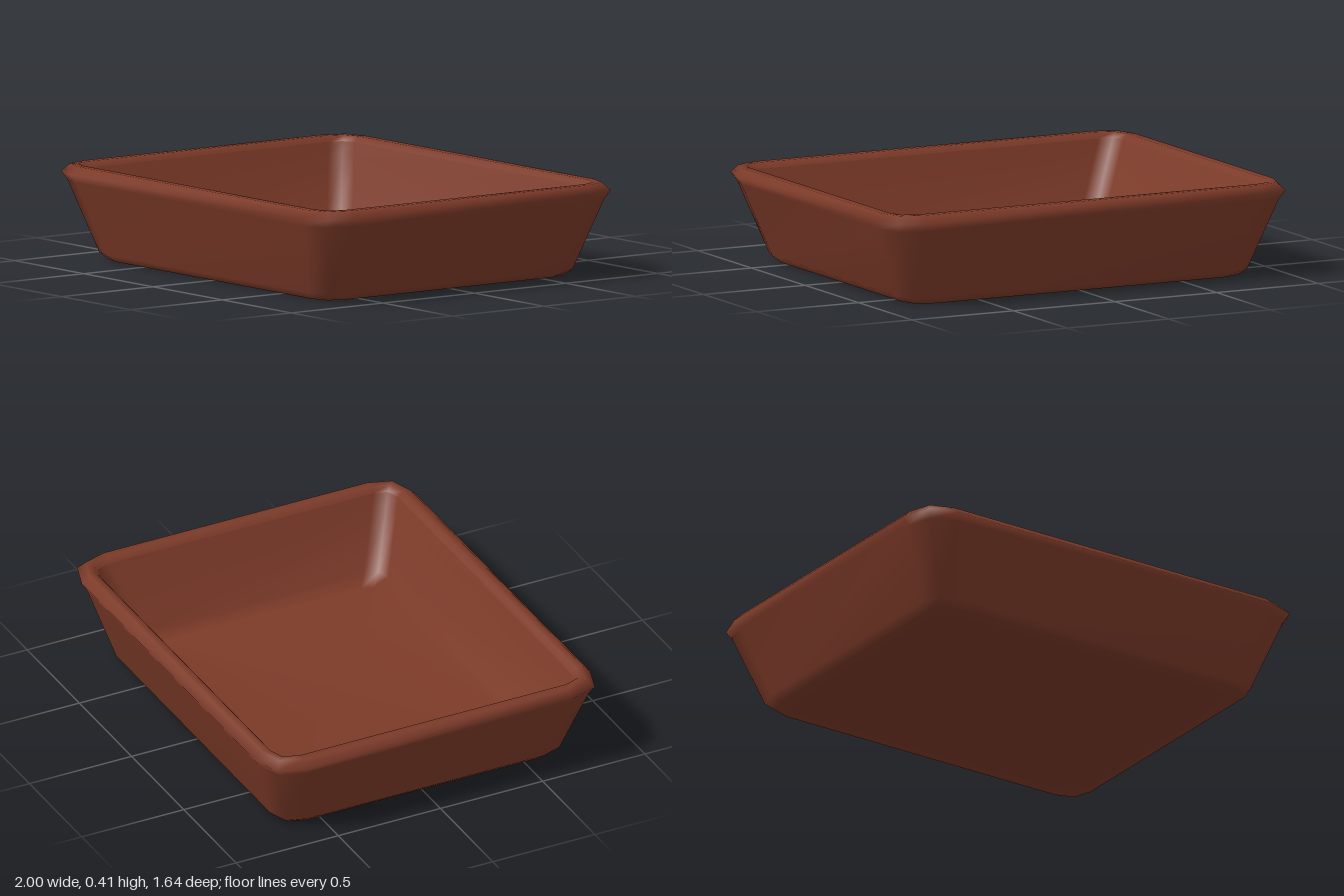
import * as THREE from 'three';

// Chamfered rectangle of 12 points: half width, half depth, corner cut
function ring(hx, hz, cut, y) {
  const n = cut * 0.25;
  const corner = [[hx, hz - cut], [hx - n, hz - n], [hx - cut, hz]];
  const points = [];
  for (const [sx, sz] of [[1, -1], [-1, -1], [-1, 1], [1, 1]]) {
    const c = corner.map(([x, z]) => [x * sx, y, z * sz]);
    points.push(...(sx * sz < 0 ? c : c.reverse()));
  }
  return points;
}

// Skin a stack of rings with smooth normals
function loft(rows) {
  const rings = rows.map((r) => ring(...r));
  const n = rings[0].length;
  const index = [];
  for (let i = 0; i < rings.length - 1; i++) {
    for (let j = 0; j < n; j++) {
      const k = (j + 1) % n;
      const a = i * n + j, b = i * n + k, c = b + n, d = a + n;
      index.push(a, b, c, a, c, d);
    }
  }
  const g = new THREE.BufferGeometry();
  g.setAttribute('position', new THREE.Float32BufferAttribute(rings.flat(2), 3));
  g.setIndex(index);
  g.computeVertexNormals();
  return g;
}

export function createModel() {
  const clay = new THREE.MeshStandardMaterial({ color: 0x7c3a28 });
  clay.name = 'reddish brown clay';
  const group = new THREE.Group();
  group.name = 'tray';

  const add = (name, rows) => {
    const mesh = new THREE.Mesh(loft(rows), clay);
    mesh.name = name;
    group.add(mesh);
  };

  // Underside, sloping walls and rounded rim
  add('outerShell', [
    [0, 0, 0, 0],
    [0.76, 0.61, 0.09, 0],
    [0.82, 0.67, 0.11, 0],
    [0.855, 0.7, 0.12, 0.03],
    [0.975, 0.8, 0.16, 0.345],
    [1, 0.82, 0.17, 0.38],
    [0.965, 0.785, 0.14, 0.415],
    [0.93, 0.75, 0.1, 0.415],
    [0.91, 0.73, 0.08, 0.39],
  ]);

  // Inner walls and floor
  add('innerBasin', [
    [0.91, 0.73, 0.08, 0.39],
    [0.885, 0.708, 0.08, 0.34],
    [0.76, 0.605, 0.08, 0.1],
    [0.7, 0.55, 0.07, 0.065],
    [0, 0, 0, 0.065],
  ]);

  return group;
}
